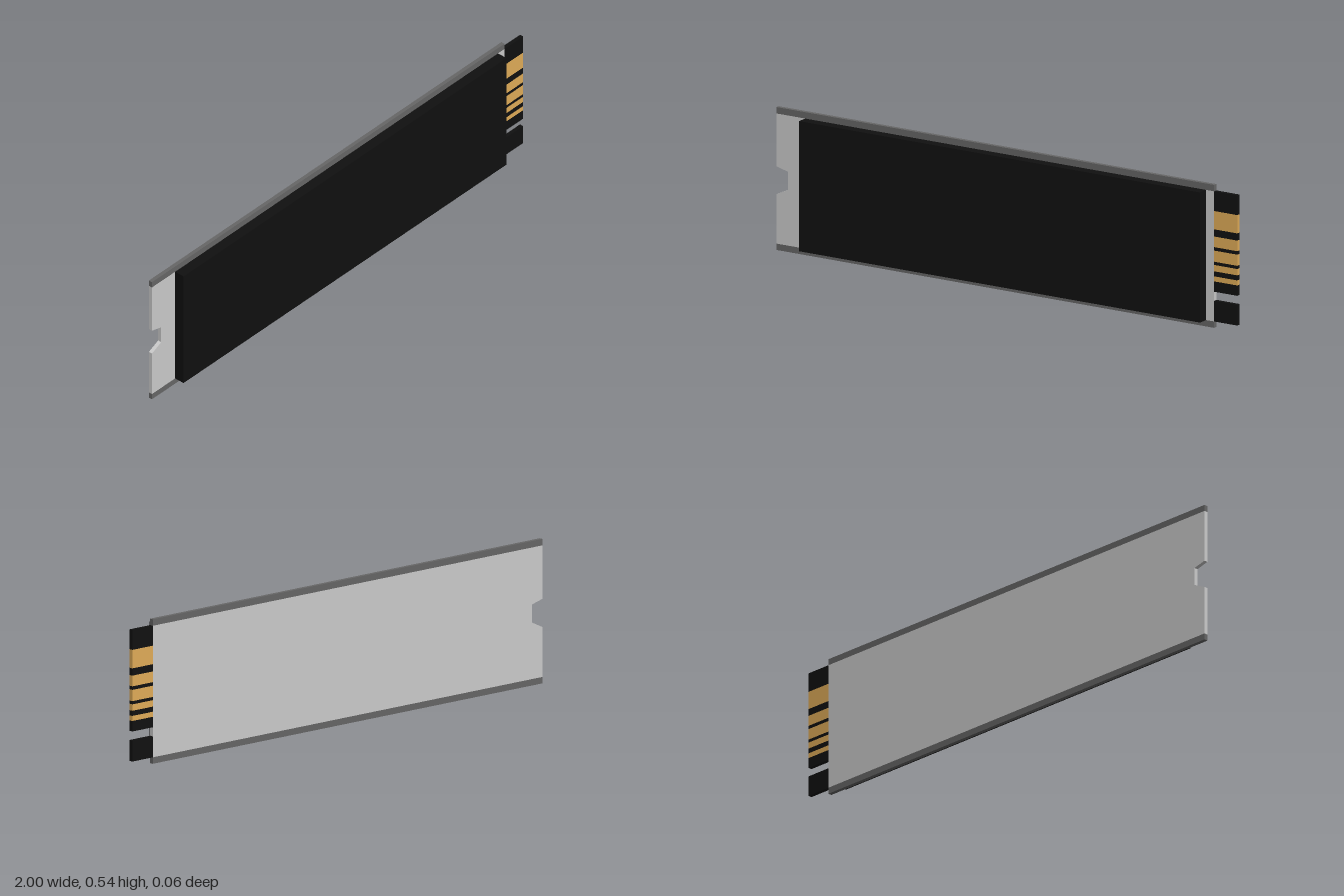
import * as THREE from 'three';

const BACK = -0.028, BOARD_FRONT = -0.013, FRONT = 0.028;

const paint = (color) => new THREE.MeshStandardMaterial({ color });

// Box given by its limits on each axis
function slab(name, material, [x0, x1], [y0, y1], [z0, z1]) {
  const mesh = new THREE.Mesh(new THREE.BoxGeometry(x1 - x0, y1 - y0, z1 - z0), material);
  mesh.position.set((x0 + x1) / 2, (y0 + y1) / 2, (z0 + z1) / 2);
  mesh.name = name;
  return mesh;
}

export function createModel() {
  const model = new THREE.Group();
  model.name = 'circuitModule';
  const grey = paint(0xcccccc);
  const darkGrey = paint(0x666666);
  const black = paint(0x101010);
  const gold = paint(0xe0ac58);
  const thickness = [BACK, BOARD_FRONT];

  // Board with the mounting notch in its short edge
  const outline = new THREE.Shape([
    [-1, 0.024], [0.9, 0.024], [0.9, 0.514], [-1, 0.514],
    [-1, 0.315], [-0.95, 0.302], [-0.95, 0.234], [-1, 0.21],
  ].map(([x, y]) => new THREE.Vector2(x, y)));
  const board = new THREE.Mesh(
    new THREE.ExtrudeGeometry(outline, { depth: BOARD_FRONT - BACK, bevelEnabled: false }), grey);
  board.position.z = BACK;
  board.name = 'board';
  model.add(board);

  // Dark strips along the long edges
  model.add(slab('bottomRail', darkGrey, [-1, 0.9], [0, 0.024], thickness));
  model.add(slab('topRail', darkGrey, [-1, 0.9], [0.514, 0.538], thickness));

  // Cover block on the front face
  model.add(slab('cover', black, [-0.875, 0.865], [0.024, 0.514], [BOARD_FRONT, FRONT]));

  // Edge connector: alternating black gaps and gold contacts, above a key slot
  const connector = new THREE.Group();
  connector.name = 'edgeConnector';
  const reach = [0.9, 1];
  connector.add(slab('connectorTab', black, reach, [0.024, 0.102], thickness));
  const contacts = [[0.175, 0.194], [0.213, 0.237], [0.249, 0.291], [0.304, 0.344], [0.371, 0.44]];
  let y = 0.136;
  for (const [low, high] of contacts) {
    connector.add(slab('contactGap', black, reach, [y, low], thickness));
    connector.add(slab('contact', gold, reach, [low, high], thickness));
    y = high;
  }
  connector.add(slab('contactGap', black, reach, [y, 0.514], thickness));
  model.add(connector);

  return model;
}
